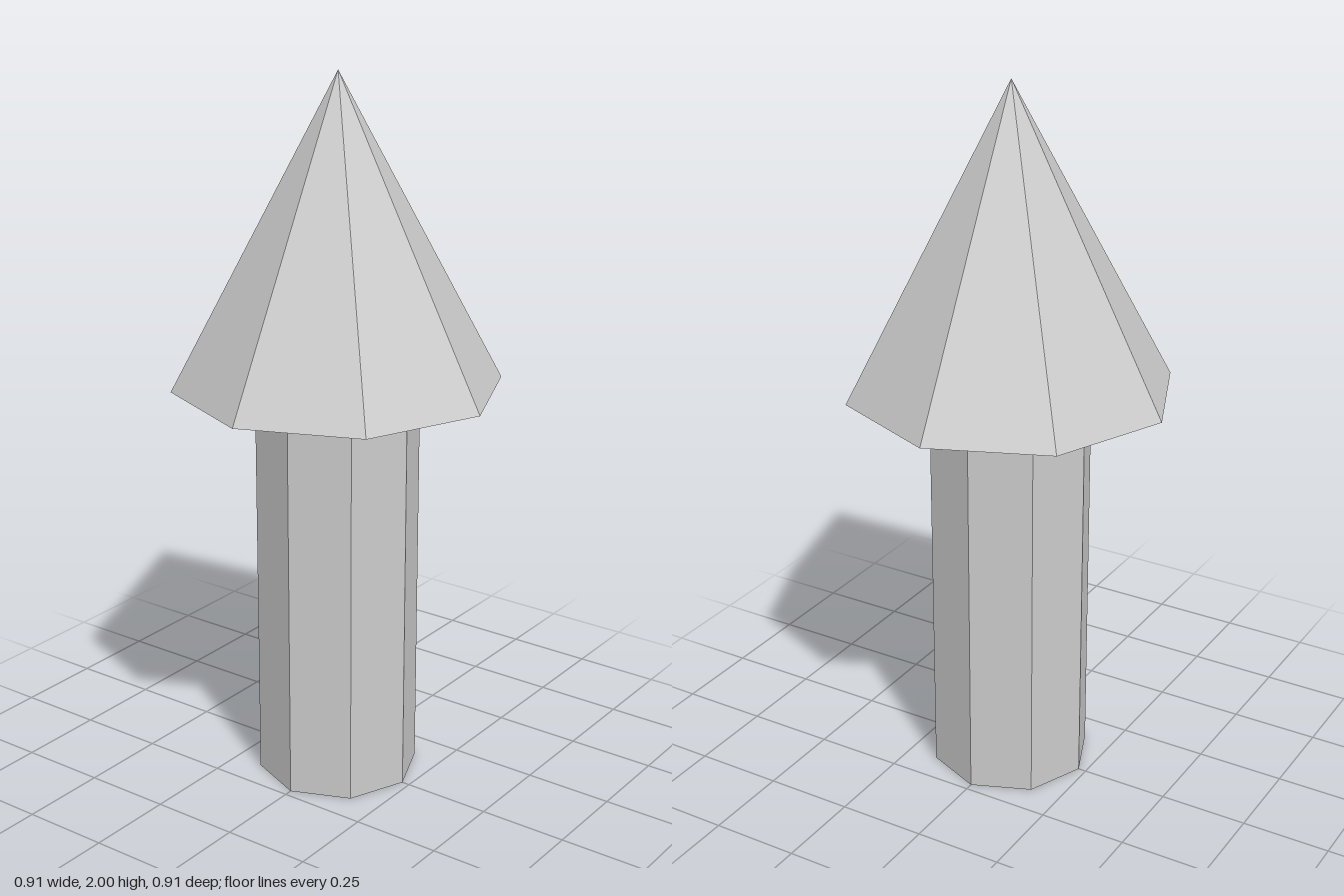
import * as THREE from 'three';

const SIDES = 8;
const HEAD_R = 0.455, SHAFT_R = 0.2275, NECK_Y = 1.15, TIP_Y = 2;

export function createModel() {
  const group = new THREE.Group();
  group.name = 'arrow';
  const material = new THREE.MeshStandardMaterial({
    color: 0xcccccc, flatShading: true, side: THREE.DoubleSide,
  });

  // Turn a [radius, height] profile into a faceted eight-sided part
  const addPart = (name, profile) => {
    const points = profile.map(([r, y]) => new THREE.Vector2(r, y));
    const mesh = new THREE.Mesh(new THREE.LatheGeometry(points, SIDES), material);
    mesh.name = name;
    group.add(mesh);
  };

  // Hollow shaft, open at the bottom
  addPart('shaft', [[SHAFT_R, 0], [SHAFT_R, NECK_Y]]);
  // Pointed head with a flat underside ring that meets the shaft
  addPart('head', [[SHAFT_R, NECK_Y], [HEAD_R, NECK_Y], [0, TIP_Y]]);

  return group;
}
